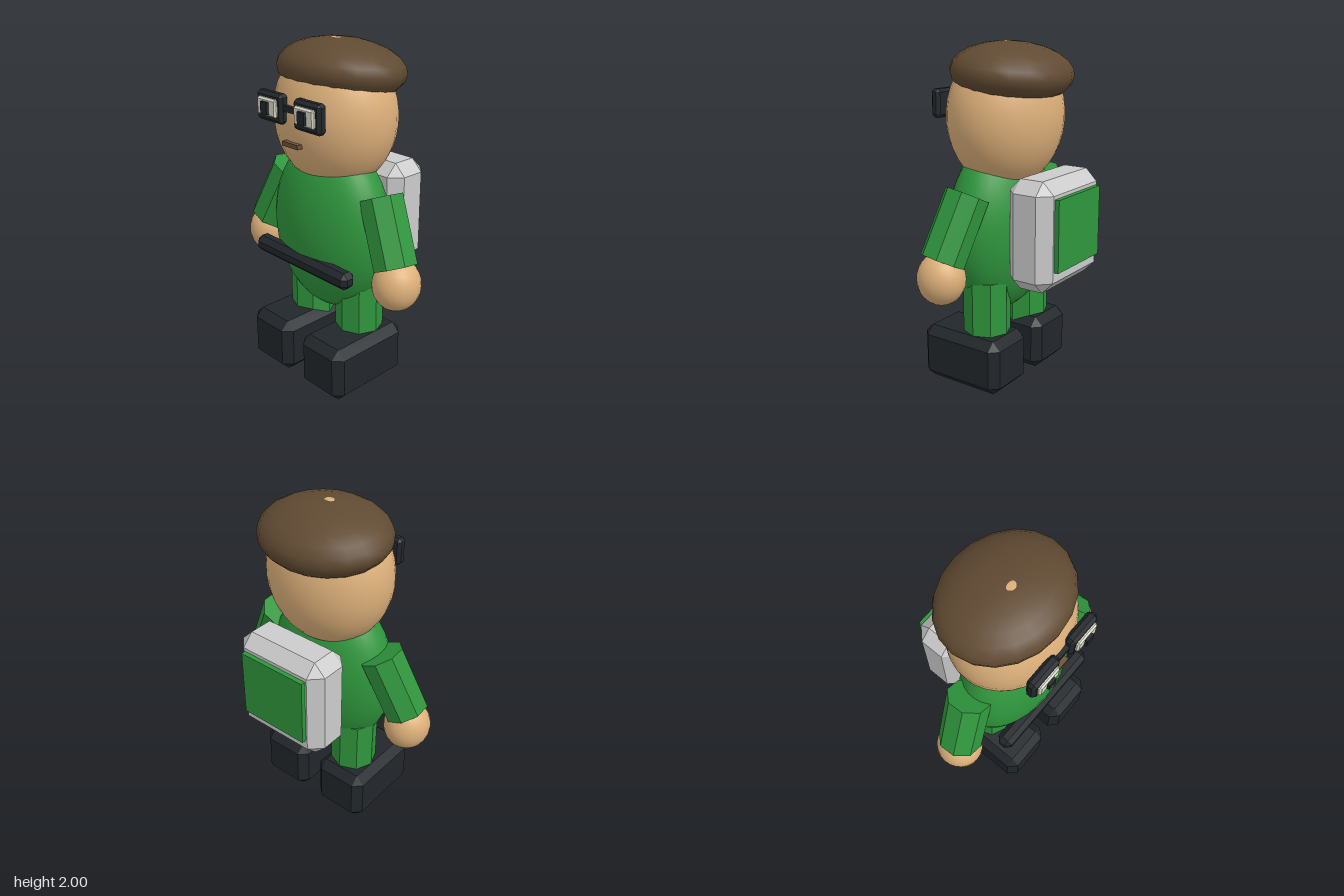
import * as THREE from 'three';
import { ConvexGeometry } from 'three/addons/geometries/ConvexGeometry.js';

const material = (color, flatShading = false) => new THREE.MeshStandardMaterial({ color, flatShading });

const skin = material(0xddb07a);
const brown = material(0x604a32);
const green = material(0x2f963d);
const greenFlat = material(0x2f963d, true);
const black = material(0x22272b, true);
const grey = material(0xcccccc, true);
const lensWhite = material(0xdcdccb, true);
const mouthBrown = material(0x6b5233, true);

// Box with every edge cut at 45 degrees
function chamferBox(w, h, d, c) {
  const points = [];
  for (const x of [-1, 1]) for (const y of [-1, 1]) for (const z of [-1, 1]) {
    for (let axis = 0; axis < 3; axis++) {
      const cut = [c, c, c];
      cut[axis] = 0;
      points.push(new THREE.Vector3(x * (w / 2 - cut[0]), y * (h / 2 - cut[1]), z * (d / 2 - cut[2])));
    }
  }
  return new ConvexGeometry(points);
}

export function createModel() {
  const model = new THREE.Group();
  model.name = 'character';

  function add(name, geometry, mat, x, y, z) {
    const mesh = new THREE.Mesh(geometry, mat);
    mesh.name = name;
    mesh.position.set(x, y, z);
    model.add(mesh);
    return mesh;
  }

  function ellipsoid(name, mat, [rx, ry, rz], [x, y, z], segments = 32) {
    const geometry = new THREE.SphereGeometry(1, segments, Math.round(segments * 0.6));
    return add(name, geometry.scale(rx, ry, rz), mat, x, y, z);
  }

  // Torso, head and hair
  ellipsoid('body', green, [0.41, 0.52, 0.257], [0, 0.93, 0.085]);
  ellipsoid('head', skin, [0.38, 0.42, 0.32], [0, 1.58, 0.055]);
  const hair = ellipsoid('hair', brown, [0.39, 0.171, 0.335], [0, 1.8257, 0.01], 20);
  hair.rotation.x = -0.1;

  // Belt, mouth and glasses bridge
  add('belt', chamferBox(0.77, 0.1, 0.1, 0.03), black, 0, 0.757, 0.31);
  add('mouth', new THREE.BoxGeometry(0.125, 0.025, 0.04), mouthBrown, 0, 1.463, 0.37);
  add('glassesBridge', new THREE.BoxGeometry(0.14, 0.032, 0.03), black, 0, 1.657, 0.375);

  // Backpack with its rear panel
  add('backpack', chamferBox(0.6, 0.63, 0.285, 0.07), grey, 0, 0.965, -0.275);
  add('backpackPanel', new THREE.BoxGeometry(0.44, 0.41, 0.04), greenFlat, 0, 0.985, -0.425);

  // Paired parts
  for (const [side, s] of [['left', 1], ['right', -1]]) {
    add(`${side}Shoe`, chamferBox(0.34, 0.33, 0.55, 0.05), black, s * 0.22, 0.165, 0.135);
    add(`${side}Leg`, new THREE.CylinderGeometry(0.14, 0.14, 0.45, 8), greenFlat, s * 0.2, 0.425, 0.055);

    // Arm slants outwards and slightly forwards
    const shoulder = new THREE.Vector3(s * 0.365, 1.18, 0.06);
    const wrist = new THREE.Vector3(s * 0.53, 0.83, 0.11);
    const direction = shoulder.clone().sub(wrist);
    const middle = shoulder.clone().add(wrist).multiplyScalar(0.5);
    const armGeometry = new THREE.CylinderGeometry(0.13, 0.13, direction.length(), 8).rotateY(Math.PI / 8);
    const arm = add(`${side}Arm`, armGeometry, greenFlat, middle.x, middle.y, middle.z);
    arm.quaternion.setFromUnitVectors(new THREE.Vector3(0, 1, 0), direction.normalize());
    ellipsoid(`${side}Hand`, skin, [0.135, 0.15, 0.14], [s * 0.54, 0.735, 0.11], 24);

    // Glasses
    add(`${side}GlassesFrame`, chamferBox(0.21, 0.165, 0.062, 0.018), black, s * 0.15, 1.647, 0.376);
    add(`${side}Lens`, chamferBox(0.155, 0.1, 0.03, 0.01), lensWhite, s * 0.15, 1.65, 0.41);
    add(`${side}Pupil`, new THREE.BoxGeometry(0.052, 0.068, 0.03), black, s * 0.15, 1.648, 0.426);
  }

  return model;
}
